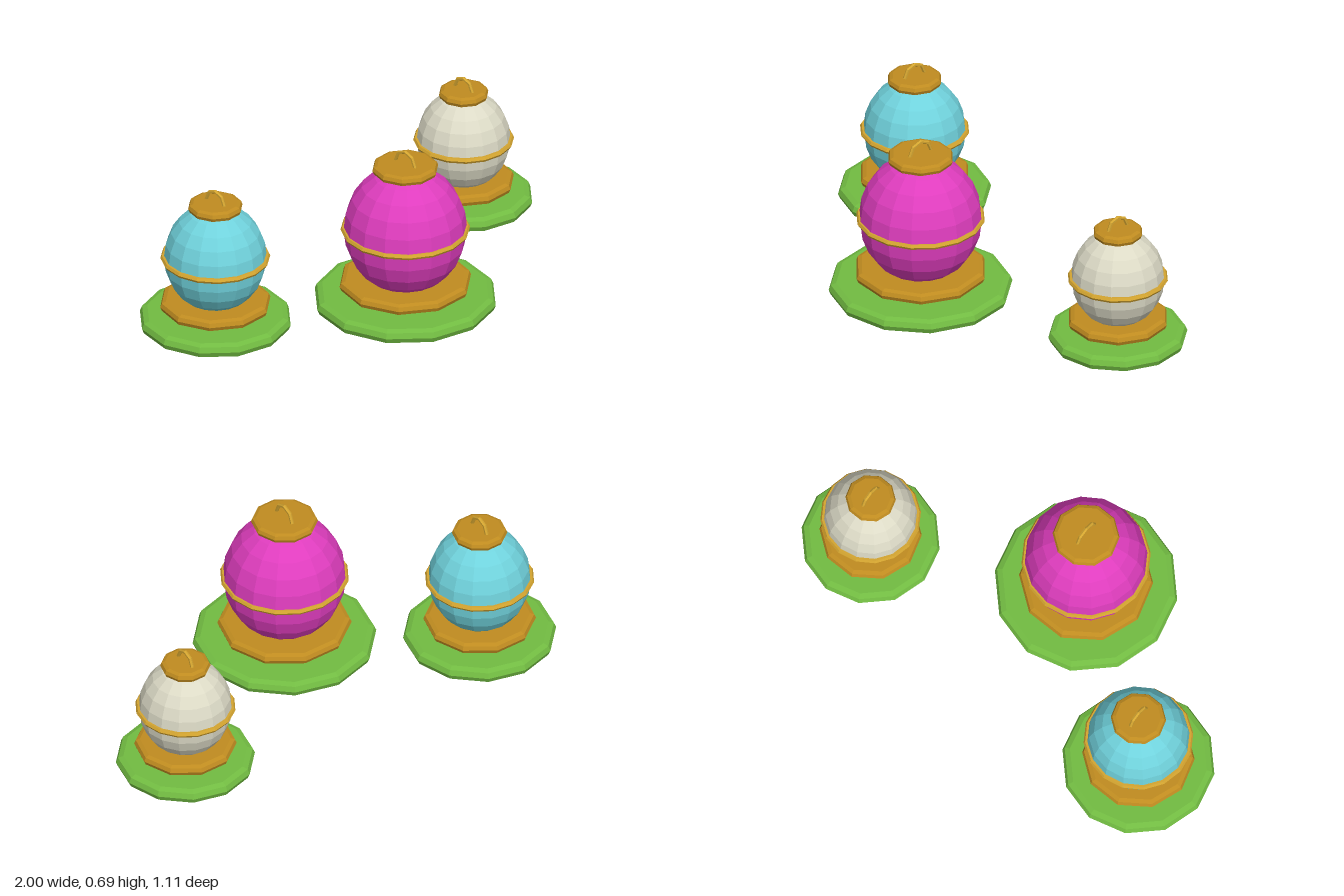
import * as THREE from 'three';

const mat = (name, color) => {
  const m = new THREE.MeshStandardMaterial({ color, flatShading: true });
  m.name = name;
  return m;
};

export function createModel() {
  const green = mat('leafGreen', 0x72bc42);
  const darkGold = mat('darkGold', 0xc08c20);
  const gold = mat('brightGold', 0xd4a530);
  const magenta = mat('magenta', 0xdf3dbe);
  const cyan = mat('cyan', 0x70d2dc);
  const ivory = mat('ivory', 0xdcdac6);

  const add = (group, name, geometry, material, y) => {
    const mesh = new THREE.Mesh(geometry, material);
    mesh.name = name;
    mesh.position.y = y;
    group.add(mesh);
    return mesh;
  };

  // Flat disc with a rounded rim, standing on y = 0
  const disc = (r, h, sides) => {
    const b = h * 0.5;
    const pts = [new THREE.Vector2(0, 0)];
    for (let i = 0; i <= 4; i++) {
      const a = -Math.PI / 2 + (i * Math.PI) / 4;
      pts.push(new THREE.Vector2(r - b + b * Math.cos(a), b + b * Math.sin(a)));
    }
    pts.push(new THREE.Vector2(0, h));
    const g = new THREE.LatheGeometry(pts, sides);
    g.rotateY(Math.PI / 2); // corners on the x axis
    return g;
  };

  const ornament = (name, o) => {
    const g = new THREE.Group();
    g.name = name;
    g.position.set(o.x, 0, o.z);

    add(g, 'groundDisc', disc(o.pad, 0.06, 12), green, 0);
    add(g, 'baseDisc', disc(o.base, 0.046, 10), darkGold, 0.079);

    // Slightly tall globe with a belt around its middle
    const globe = new THREE.SphereGeometry(1, 16, 12);
    globe.scale(o.r, o.ry, o.r);
    add(g, 'globe', globe, o.material, o.y);
    const belt = new THREE.TorusGeometry(o.belt - 0.012, 0.012, 6, 16);
    belt.rotateX(Math.PI / 2);
    add(g, 'belt', belt, gold, o.y);

    // Cap and hanging loop
    add(g, 'cap', disc(o.cap, 0.04, 10), darkGold, o.capTop - 0.04);
    const loop = new THREE.TorusGeometry(o.loop, 0.008, 6, 4, Math.PI);
    loop.rotateY(Math.PI / 2);
    add(g, 'hangingLoop', loop, gold, o.capTop);
    return g;
  };

  const model = new THREE.Group();
  model.name = 'ornaments';
  model.add(
    ornament('magentaOrnament', {
      x: -0.06, z: 0.19, pad: 0.366, base: 0.266, r: 0.245, ry: 0.266, y: 0.338,
      belt: 0.257, cap: 0.133, capTop: 0.628, loop: 0.051, material: magenta,
    }),
    ornament('cyanOrnament', {
      x: -0.695, z: -0.25, pad: 0.305, base: 0.223, r: 0.204, ry: 0.224, y: 0.305,
      belt: 0.218, cap: 0.11, capTop: 0.55, loop: 0.047, material: cyan,
    }),
    ornament('ivoryOrnament', {
      x: 0.722, z: -0.203, pad: 0.277, base: 0.203, r: 0.186, ry: 0.204, y: 0.287,
      belt: 0.2, cap: 0.1, capTop: 0.511, loop: 0.045, material: ivory,
    }),
  );
  return model;
}
